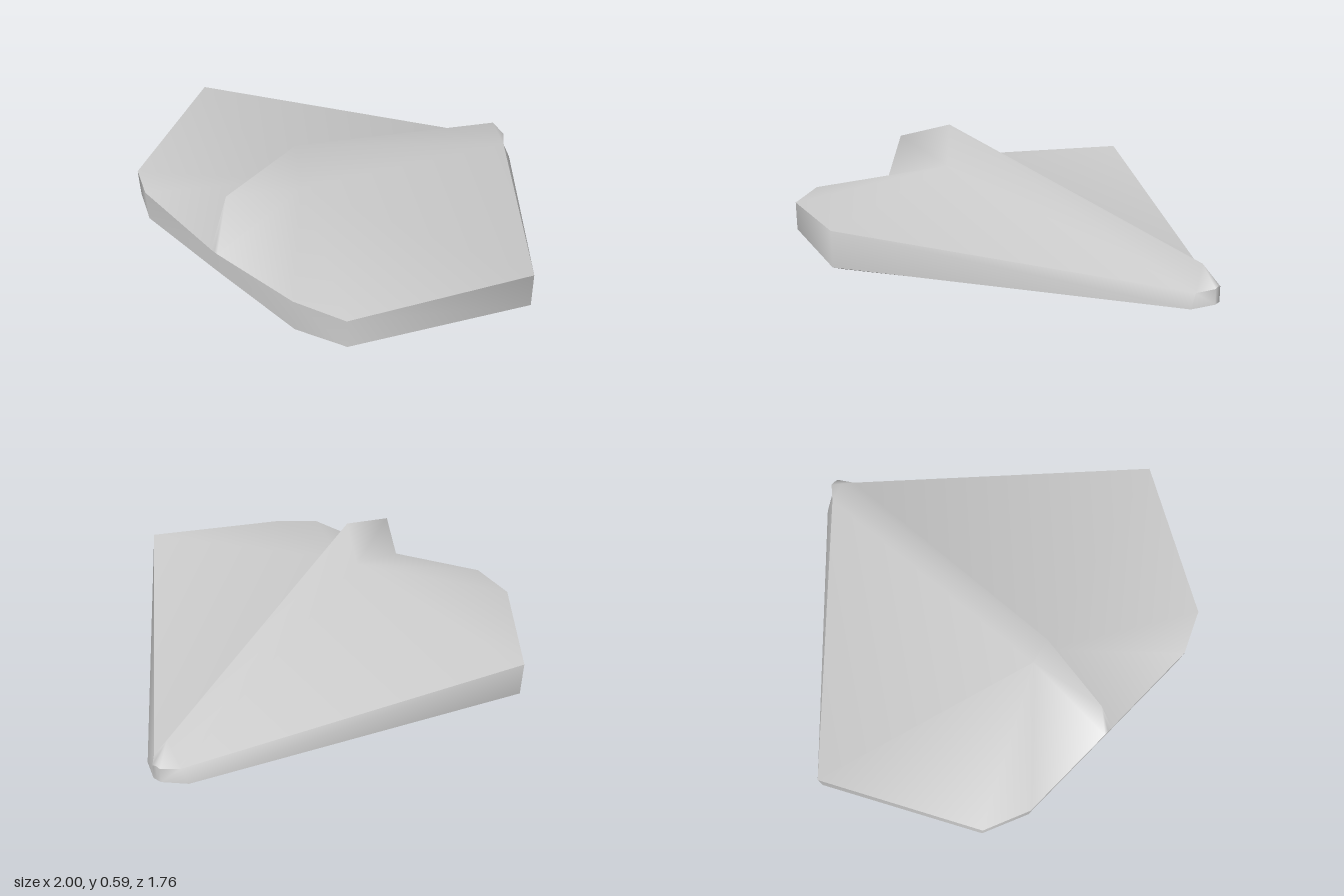
import * as THREE from 'three';
import { mergeVertices } from 'three/addons/utils/BufferGeometryUtils.js';

// Half outlines (+x side), running from the narrow tail to the broad nose
const rimTop = [[0, 0.08, -0.88], [0.02, 0.075, -0.88], [0.07, 0.06, -0.82],
  [1, 0.36, 0.2], [0.66, 0.305, 0.8], [0.47, 0.325, 0.88], [0.02, 0.28, 0.88], [0, 0.28, 0.88]];
const rimBottom = [[0, 0.01, -0.88], [0.02, 0.01, -0.88], [0.11, 0.005, -0.82],
  [1, 0.22, 0.2], [0.66, 0.185, 0.8], [0.47, 0.195, 0.88], [0.02, 0.19, 0.88], [0, 0.19, 0.88]];
const keel = [[0, 0.003, -0.86], [0.02, 0.003, -0.86], [0.08, 0, -0.81],
  [0.95, 0.2, 0.2], [0.63, 0.17, 0.77], [0.45, 0.155, 0.82], [0.02, 0.15, 0.81], [0, 0.15, 0.81]];

// Ridge, fin top and fin foot
const tailRidge = [0, 0.16, -0.81];
const apex = [0, 0.59, 0.47];
const finNose = [0, 0.5, 0.8];
const foot = [0.04, 0.4, 0.47];

// Mirrors a list of triangles across x = 0 and smooths the result
function mirroredMesh(name, triangles, material) {
  const points = [];
  for (const [a, b, c] of triangles) {
    points.push(...a, ...b, ...c);
    for (const [x, y, z] of [a, c, b]) points.push(x === 0 ? 0 : -x, y, z);
  }
  let geometry = new THREE.BufferGeometry();
  geometry.setAttribute('position', new THREE.Float32BufferAttribute(points, 3));
  geometry = mergeVertices(geometry, 1e-4);
  // The fin apex leans a little to one side
  const p = geometry.attributes.position;
  for (let i = 0; i < p.count; i++) if (p.getY(i) > 0.55) p.setX(i, 0.02);
  geometry.computeVertexNormals();
  const mesh = new THREE.Mesh(geometry, material);
  mesh.name = name;
  return mesh;
}

// Band of quads between a lower and an upper outline
function band(lower, upper) {
  const triangles = [];
  for (let i = 0; i < lower.length - 1; i++) {
    triangles.push([lower[i], upper[i], upper[i + 1]], [lower[i], upper[i + 1], lower[i + 1]]);
  }
  return triangles;
}

export function createModel() {
  const group = new THREE.Group();
  group.name = 'wedgeHull';
  const material = new THREE.MeshStandardMaterial({ color: 0xcccccc, side: THREE.DoubleSide });
  const [tail, tailSide, tailCorner, wing, shoulder, corner, noseSide, nose] = rimTop;

  // Deck plates, from the tail corner and from the fin foot
  const deck = [
    [tailRidge, tailSide, tail], [tailRidge, tailCorner, tailSide], [tailCorner, foot, wing],
    [foot, shoulder, wing], [foot, corner, shoulder], [foot, noseSide, corner],
  ];
  // Fin walls, tapering back along the ridge
  const fin = [
    [tailRidge, apex, tailCorner], [apex, foot, tailCorner], [apex, finNose, foot],
    [finNose, noseSide, foot], [finNose, nose, noseSide],
  ];
  group.add(mirroredMesh('deckAndFin', [...deck, ...fin], material));

  // Side wall and the narrow bevel below it
  group.add(mirroredMesh('rim', band(rimBottom, rimTop), material));
  group.add(mirroredMesh('lowerBevel', band(keel, rimBottom), material));

  // Shallow underside, fanned from the nose
  const under = [];
  for (let i = 0; i < keel.length - 2; i++) under.push([keel.at(-1), keel[i], keel[i + 1]]);
  group.add(mirroredMesh('underside', under, material));

  return group;
}
